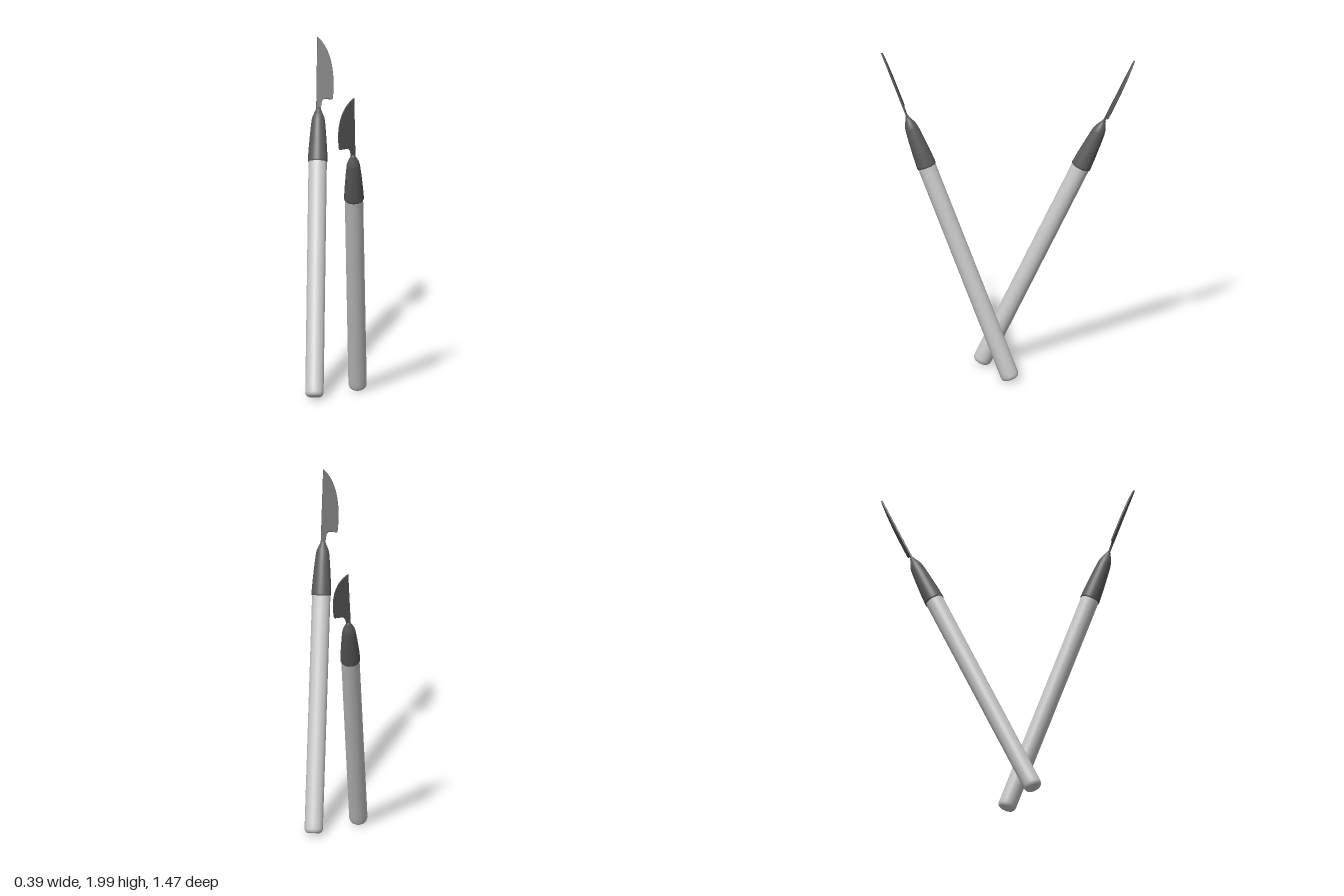
import * as THREE from 'three';

const handleMaterial = new THREE.MeshStandardMaterial({ color: 0xcccccc });
const metalMaterial = new THREE.MeshStandardMaterial({ color: 0x5c5c5c });

const lathe = (points) =>
  new THREE.LatheGeometry(points.map(([r, y]) => new THREE.Vector2(r, y)), 40);

// Thin blade outline: straight back, curved cutting edge, notched shoulder and tang
function bladeGeometry() {
  const s = new THREE.Shape();
  s.moveTo(-0.013, 1.62);
  s.lineTo(0.013, 1.62);
  s.lineTo(0.015, 1.7);
  s.quadraticCurveTo(0.017, 1.755, 0.036, 1.756);
  s.lineTo(0.076, 1.754);
  s.quadraticCurveTo(0.083, 1.754, 0.084, 1.765);
  s.bezierCurveTo(0.092, 1.88, 0.085, 2.04, -0.013, 2.122);
  s.closePath();
  const depth = 0.006;
  const g = new THREE.ExtrudeGeometry(s, {
    depth, curveSegments: 16, bevelEnabled: true,
    bevelThickness: 0.002, bevelSize: 0.002, bevelOffset: -0.002, bevelSegments: 1,
  });
  return g.translate(0, 0, -depth / 2);
}

// One knife along +y with the cutting edge toward +x
function makeKnife(name) {
  const knife = new THREE.Group();
  knife.name = name;
  const add = (part, geometry, material) => {
    const mesh = new THREE.Mesh(geometry, material);
    mesh.name = part;
    knife.add(mesh);
  };
  // Round handle with a softened butt end
  add('handle', lathe([[0, 0], [0.034, 0.001], [0.043, 0.005], [0.05, 0.013],
    [0.0535, 0.027], [0.0535, 0.06], [0.0535, 1.4]]), handleMaterial);
  // Tapered collar closing around the tang
  add('collar', lathe([[0.05, 1.386], [0.0575, 1.386], [0.0575, 1.396], [0.054, 1.46],
    [0.046, 1.56], [0.039, 1.628], [0.034, 1.65], [0.024, 1.673], [0.015, 1.692],
    [0.011, 1.705], [0, 1.706]]), metalMaterial);
  add('blade', bladeGeometry(), metalMaterial);
  return knife;
}

// Stand a knife on its butt, leaning along an axis with the edge facing a side
function place(knife, base, axis, edge) {
  const up = new THREE.Vector3(...axis).normalize();
  const side = new THREE.Vector3(...edge);
  side.addScaledVector(up, -side.dot(up)).normalize();
  const normal = new THREE.Vector3().crossVectors(side, up);
  knife.quaternion.setFromRotationMatrix(new THREE.Matrix4().makeBasis(side, up, normal));
  knife.position.set(...base);
  return knife;
}

export function createModel() {
  const model = new THREE.Group();
  model.name = 'crossedKnives';
  model.add(
    place(makeKnife('frontKnife'), [0.143, 0.019, -0.004], [-0.088, 0.933, 0.349], [-1, -0.075, -0.05]),
    place(makeKnife('backKnife'), [-0.146, 0.021, 0.15], [0.1, 0.904, -0.414], [1, -0.065, 0.1]),
  );
  return model;
}
